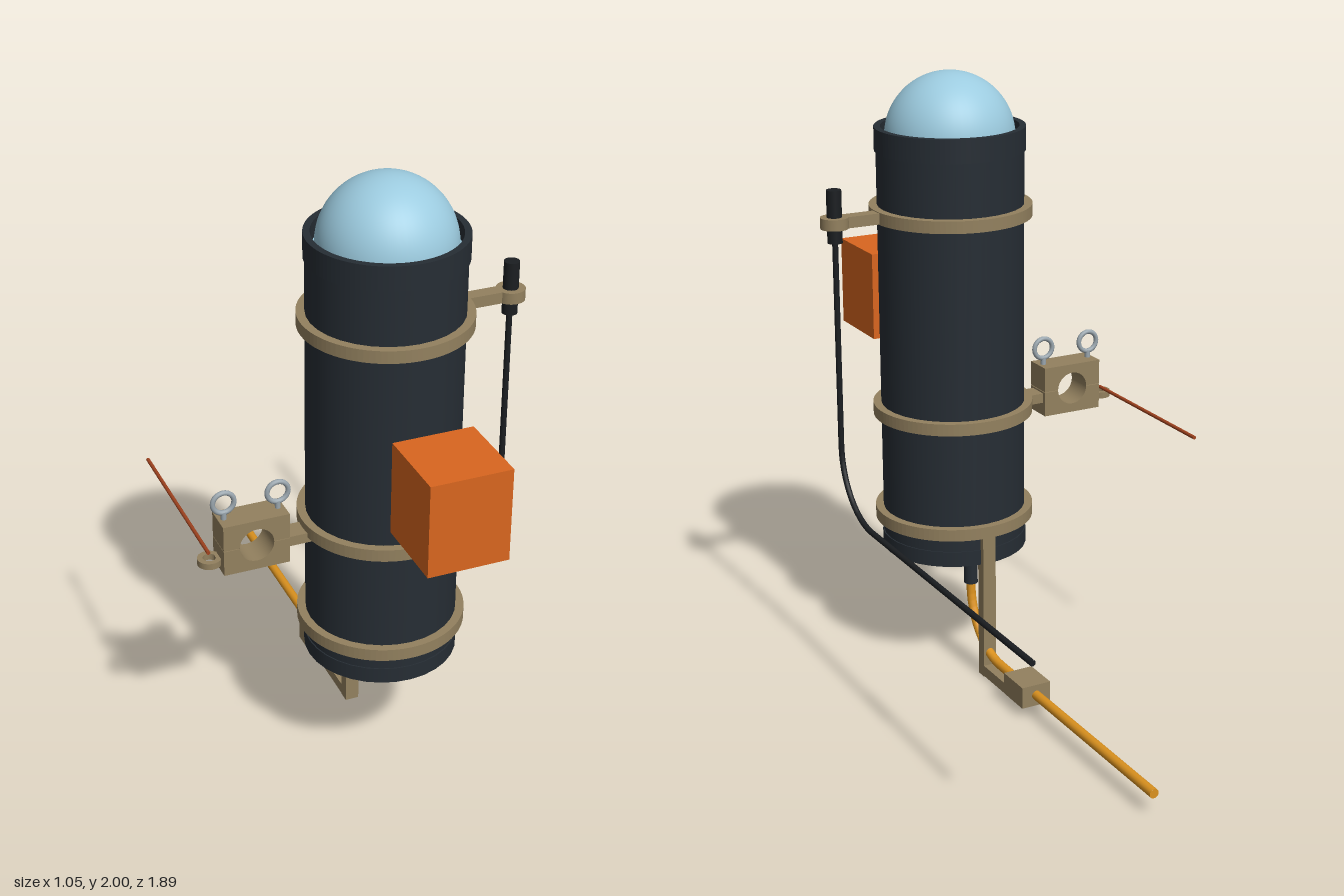
import * as THREE from 'three';

const CX = 0.073, CZ = 0.343; // axis of the main housing

export function createModel() {
  const root = new THREE.Group();
  const mat = (color) => new THREE.MeshStandardMaterial({ color });
  const dark = mat(0x262d34), black = mat(0x1b1e21), tan = mat(0x93815f), blue = mat(0x9ccbdf),
    orange = mat(0xd9661f), yellow = mat(0xdb921f), red = mat(0xa0431f), steel = mat(0x9aa6ae);

  const add = (name, geo, m, x = 0, y = 0, z = 0, parent = root) => {
    const mesh = new THREE.Mesh(geo, m);
    mesh.name = name;
    mesh.position.set(x, y, z);
    parent.add(mesh);
    return mesh;
  };
  // box given by its min and max corners
  const box = (name, m, a, b) => add(name, new THREE.BoxGeometry(b[0] - a[0], b[1] - a[1], b[2] - a[2]), m,
    (a[0] + b[0]) / 2, (a[1] + b[1]) / 2, (a[2] + b[2]) / 2);
  const rod = (name, m, r, y0, y1, x, z) =>
    add(name, new THREE.CylinderGeometry(r, r, y1 - y0, 32), m, x, (y0 + y1) / 2, z);
  // ring with a rectangular section, standing on y0
  const ring = (name, m, rIn, rOut, y0, y1, x, z) => {
    const s = new THREE.Shape().absarc(0, 0, rOut, 0, Math.PI * 2);
    s.holes.push(new THREE.Path().absarc(0, 0, rIn, 0, Math.PI * 2, true));
    const g = new THREE.ExtrudeGeometry(s, { depth: y1 - y0, bevelEnabled: false, curveSegments: 48 });
    return add(name, g.rotateX(-Math.PI / 2), m, x, y0, z);
  };
  const V = (x, y, z) => new THREE.Vector3(x, y, z);
  // cable that drops, bends through a quarter circle and runs straight back
  const cable = (name, m, r, x, z, yTop, yLow, bend, zEnd) => {
    const pts = [V(x, yTop, z)];
    for (let i = 0; i <= 12; i++) {
      const a = (i / 12) * Math.PI / 2;
      pts.push(V(x, yLow + bend * (1 - Math.sin(a)), z - bend * (1 - Math.cos(a))));
    }
    pts.push(V(x, yLow, zEnd));
    const path = new THREE.CurvePath();
    for (let i = 1; i < pts.length; i++) {
      if (pts[i].distanceTo(pts[i - 1]) > 1e-4) path.add(new THREE.LineCurve3(pts[i - 1], pts[i]));
    }
    add(name, new THREE.TubeGeometry(path, 160, r, 14), m);
    for (const [p, ry, rx] of [[pts[0], 0, -Math.PI / 2], [pts[pts.length - 1], Math.PI, 0]]) {
      const cap = add(name + 'End', new THREE.CircleGeometry(r, 14), m, p.x, p.y, p.z);
      cap.rotation.set(rx, ry, 0);
    }
  };

  // Housing tube, end caps and dome
  rod('housing', dark, 0.238, 0.42, 1.76, CX, CZ);
  rod('lowerCap', dark, 0.242, 0.403, 0.455, CX, CZ);
  ring('upperRim', dark, 0.222, 0.243, 1.75, 1.827, CX, CZ);
  rod('domeFlange', blue, 0.221, 1.755, 1.775, CX, CZ);
  add('dome', new THREE.SphereGeometry(0.21, 48, 24, 0, Math.PI * 2, 0, Math.PI / 2), blue, CX, 1.79, CZ);
  rod('domeSkirt', blue, 0.21, 1.765, 1.79, CX, CZ);

  // Clamp bands
  for (const y of [0.523, 0.888, 1.555]) ring('clampBand', tan, 0.236, 0.264, y - 0.02, y + 0.02, CX, CZ);

  // Plugs around the underside, one of them carrying the cable connector
  for (let i = 0; i < 6; i++) {
    const a = i * Math.PI / 3;
    if (i > 0) rod('endPlug', black, 0.014, 0.399, 0.405, CX + 0.12 * Math.sin(a), CZ - 0.12 * Math.cos(a));
  }
  rod('connector', dark, 0.023, 0.29, 0.405, CX, 0.223);
  rod('connectorNut', dark, 0.034, 0.38, 0.394, CX, 0.223);
  cable('mainCable', yellow, 0.0155, CX, 0.223, 0.295, 0.07, 0.21, -0.945);

  // Cable support under the housing
  box('supportPost', tan, [0.05, 0, 0.087], [0.096, 0.52, 0.124]);
  box('supportFoot', tan, [0.05, 0.003, -0.128], [0.096, 0.04, 0.124]);
  box('cableClamp', tan, [0.022, 0.033, -0.233], [0.124, 0.106, -0.108]);

  // Sensor held out on the left
  box('sensorArm', tan, [0.325, 1.537, CZ - 0.023], [0.45, 1.573, CZ + 0.023]);
  ring('sensorClamp', tan, 0.023, 0.045, 1.537, 1.573, 0.48, CZ);
  rod('sensor', black, 0.024, 1.49, 1.66, 0.48, CZ);
  cable('sensorCable', black, 0.0095, 0.48, CZ, 1.5, 0.588, 0.225, -0.945);

  // Split rope clamp on the right: two halves around a round hole
  box('clampArm', tan, [-0.26, 0.85, CZ - 0.035], [-0.175, 0.883, CZ + 0.035]);
  const hx = -0.357, hy = 0.89, hr = 0.055;
  for (const s of [1, -1]) {
    const half = new THREE.Shape();
    half.moveTo(hr, s * 0.001);
    half.lineTo(0.106, s * 0.001);
    half.lineTo(0.106, s * 0.085);
    half.lineTo(-0.106, s * 0.085);
    half.lineTo(-0.106, s * 0.001);
    half.lineTo(-hr, s * 0.001);
    half.absarc(0, 0, hr, Math.PI, 0, s > 0);
    const g = new THREE.ExtrudeGeometry(half, { depth: 0.098, bevelEnabled: false, curveSegments: 24 });
    add('ropeClampHalf', g, tan, hx, hy, CZ - 0.049);
  }
  // Eye bolts on the clamp
  for (const x of [-0.444, -0.271]) {
    add('eyeBoltRing', new THREE.TorusGeometry(0.034, 0.008, 12, 32), steel, x, 1.031, CZ);
    rod('eyeBoltShank', steel, 0.009, 0.96, 1.0, x, CZ);
  }
  // Side lug with the trigger line
  box('lugArm', tan, [-0.475, 0.828, CZ - 0.02], [-0.455, 0.849, CZ + 0.02]);
  ring('lug', tan, 0.02, 0.037, 0.828, 0.849, -0.493, CZ);
  const line = add('triggerLine', new THREE.CylinderGeometry(0.006, 0.006, 0.595, 12), red, -0.493, 0.861, 0.04);
  line.rotation.x = Math.PI / 2;

  // Separate block in front
  box('frontBlock', orange, [-0.054, 1.04, 0.688], [0.2, 1.338, 0.945]);

  return root;
}
